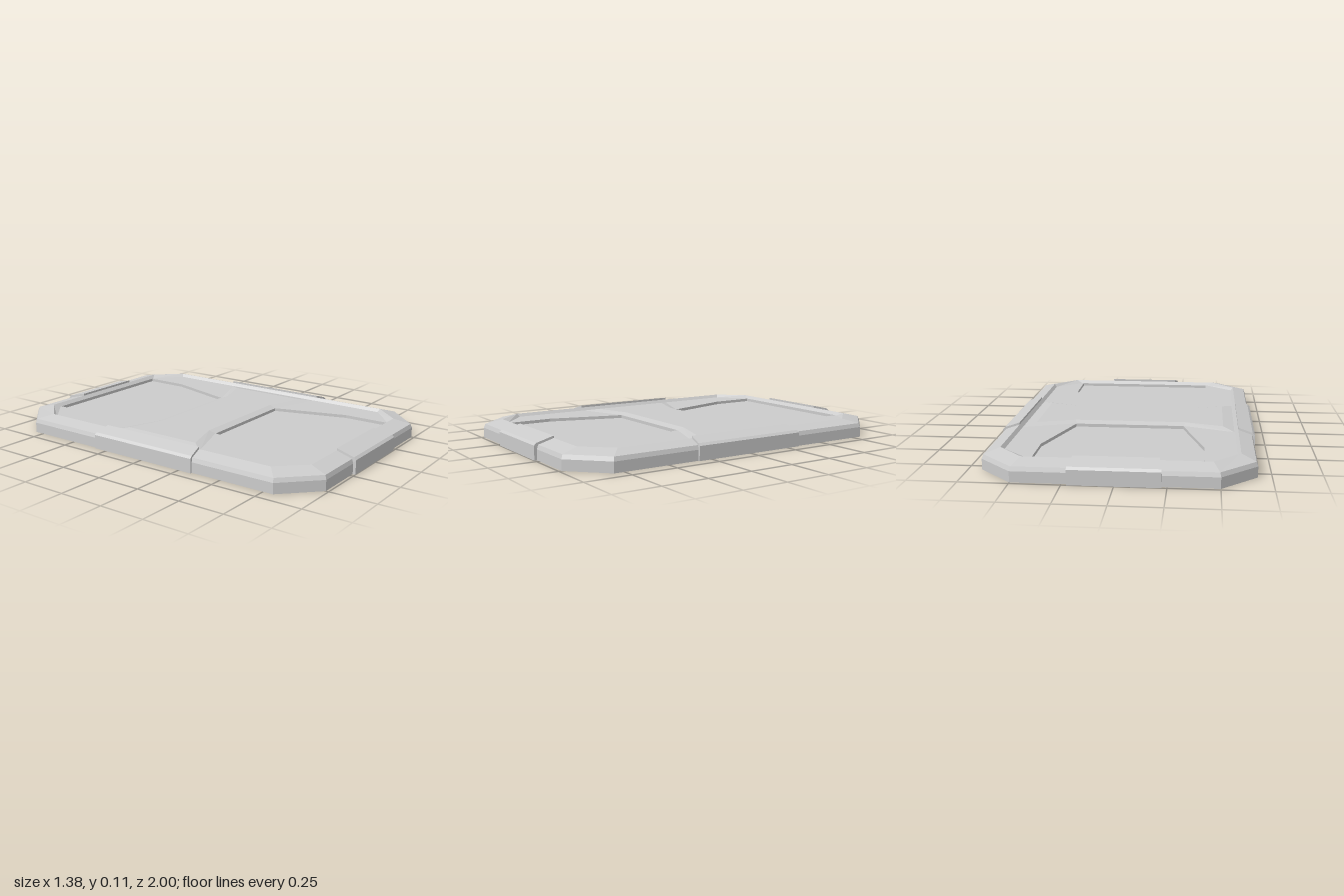
import * as THREE from 'three';
import { ConvexGeometry } from 'three/addons/geometries/ConvexGeometry.js';

const mat = new THREE.MeshStandardMaterial({ color: 0xcccccc, flatShading: true });

function part(name, geometry) {
  const mesh = new THREE.Mesh(geometry, mat);
  mesh.name = name;
  return mesh;
}

// Ring with cut corners: long sides at x = w, short sides at z = l,
// corners at (cx, l) and (w, cz).
function octagon([w, l, cx, cz, y]) {
  return [[-cx, l], [cx, l], [w, cz], [w, -cz], [cx, -l], [-cx, -l], [-w, -cz], [-w, cz]]
    .map(([x, z]) => [x, y, z]);
}

// Skin over a stack of rings.
function loft(rings) {
  const pos = [];
  for (let r = 0; r < rings.length - 1; r++) {
    const lo = rings[r], hi = rings[r + 1], n = lo.length;
    for (let i = 0; i < n; i++) {
      const j = (i + 1) % n;
      pos.push(...lo[i], ...lo[j], ...hi[j], ...lo[i], ...hi[j], ...hi[i]);
    }
  }
  const g = new THREE.BufferGeometry();
  g.setAttribute('position', new THREE.Float32BufferAttribute(pos, 3));
  g.computeVertexNormals();
  return g;
}

// Clip wrapped over the rim at distance `out` from the centre, facing +z.
function clip(name, out, inner, half, taper) {
  const profile = [
    [inner, 0.03, half - taper], [inner, 0.112, half - taper],
    [out - 0.013, 0.088, half - 0.002], [out, 0.076, half], [out, 0, half], [inner + 0.04, 0, half],
  ];
  const pts = [];
  for (const [z, y, x] of profile)
    for (const s of [-1, 1]) pts.push(new THREE.Vector3(s * x, y, z));
  return part(name, new ConvexGeometry(pts));
}

export function createModel() {
  const group = new THREE.Group();
  group.name = 'panel';

  // Frame: closed underside, outer wall, bevelled rim, inner wall and pocket floor
  group.add(part('frame', loft([
    [0, 0, 0, 0, 0],
    [0.68, 0.985, 0.5, 0.805, 0],
    [0.68, 0.985, 0.5, 0.805, 0.056],
    [0.672, 0.977, 0.495, 0.8, 0.078],
    [0.6, 0.885, 0.465, 0.74, 0.1],
    [0.585, 0.865, 0.43, 0.73, 0.083],
    [0.585, 0.865, 0.43, 0.73, 0.066],
    [0, 0, 0, 0, 0.066],
  ].map(octagon))));

  // Face plate with a tapered pocket cut in from each end
  const right = [[0.3, 0.2], [0.42, 0.61], [0.42, 0.865], [0.43, 0.865], [0.585, 0.73]];
  const rightSide = [...right, ...right.map(([x, z]) => [x, -z]).reverse()];
  const outline = [...rightSide, ...rightSide.map(([x, z]) => [-x, z]).reverse()];
  const plate = new THREE.ExtrudeGeometry(
    new THREE.Shape(outline.map(([x, z]) => new THREE.Vector2(x, z))),
    { depth: 0.023, bevelEnabled: false });
  plate.rotateX(-Math.PI / 2).translate(0, 0.06, 0);
  group.add(part('facePlate', plate));

  // Raised band across the middle with sloping edges
  const band = [];
  for (const sx of [-1, 1]) for (const sz of [-1, 1])
    for (const [x, y, z] of [[0.585, 0.082, 0.305], [0.3, 0.082, 0.2], [0.52, 0.095, 0.228], [0.31, 0.095, 0.16]])
      band.push([sx * x, y, sz * z]);
  // Its waisted outline is made from a middle block and two flaring ends
  const hull = (name, pick) => part(name,
    new ConvexGeometry(band.filter(pick).map((p) => new THREE.Vector3(...p))));
  group.add(
    hull('bandMiddle', ([x]) => Math.abs(x) < 0.4),
    hull('bandLeft', ([x]) => x > 0),
    hull('bandRight', ([x]) => x < 0));

  // Clips at the middle of each side
  [['frontClip', 0], ['leftClip', 1], ['backClip', 2], ['rightClip', 3]].forEach(([name, turn]) => {
    const c = turn % 2 ? clip(name, 0.69, 0.6, 0.327, 0.015) : clip(name, 1, 0.885, 0.225, 0.015);
    c.rotation.y = turn * Math.PI / 2;
    group.add(c);
  });

  return group;
}
